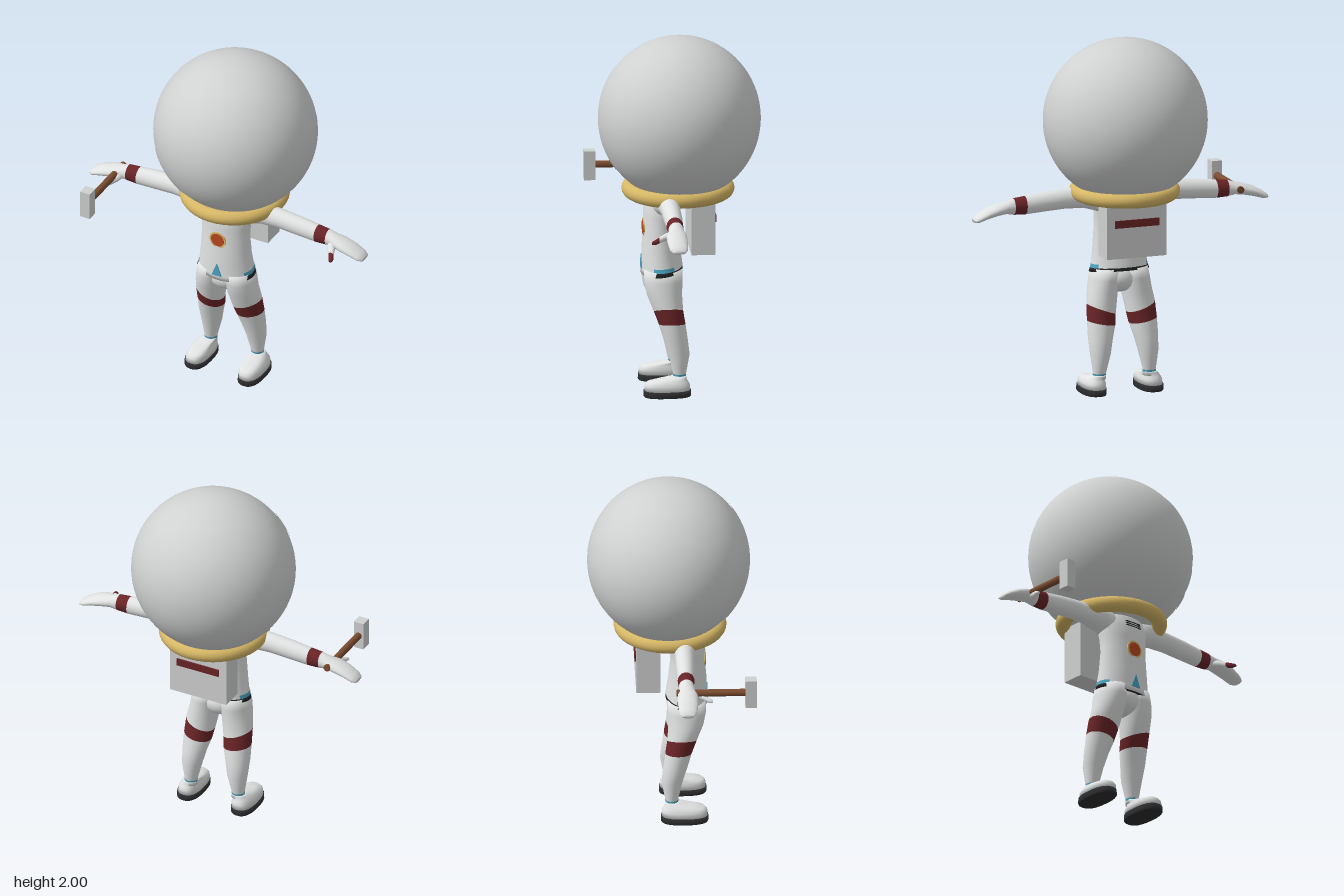
import * as THREE from 'three';

const flat = (name, color) => Object.assign(new THREE.MeshStandardMaterial({ color }), { name });
const suit = flat('suit white', 0xe0e2e1);
const shell = flat('helmet grey', 0xcfd1d0);
const gold = flat('gold', 0xd6b766);
const maroon = flat('maroon', 0x6a2427);
const brown = flat('handle brown', 0x7b4c30);
const dark = flat('dark rubber', 0x2b2b2d);
const blue = flat('light blue', 0x4ba3c4);
const orange = flat('badge orange', 0xbb4820);

// Cross-sections across each axis: centre plus two half-axes (u x v points along the loft)
const ringY = (x, y, z, hx, hz, tiltX = 0, tiltZ = 0) => ({ c: [x, y, z], u: [hx, tiltX, 0], v: [0, tiltZ, -hz] });
const ringX = (x, y, z, hy, hz) => ({ c: [x, y, z], u: [0, hy, 0], v: [0, 0, hz] });
const ringZ = (x, y, z, hx, hy) => ({ c: [x, y, z], u: [hx, 0, 0], v: [0, hy, 0] });

// Closed skin through the rings; side -1 mirrors it in x; pick(interval, angle) gives the material
function loft(name, rings, { side = 1, pick = () => suit, power = 1, n = 32 } = {}) {
  const pos = [], index = [], mats = [], geo = new THREE.BufferGeometry();
  const bend = (t) => Math.sign(t) * Math.abs(t) ** power;
  for (const { c, u, v } of rings) {
    for (let j = 0; j < n; j++) {
      const a = (j / n) * Math.PI * 2 * side;
      const p = c.map((k, i) => k + u[i] * bend(Math.cos(a)) + v[i] * bend(Math.sin(a)));
      pos.push(p[0] * side, p[1], p[2]);
    }
  }
  const last = rings.length - 1;
  for (const r of [rings[0], rings[last]]) pos.push(r.c[0] * side, r.c[1], r.c[2]);
  let run = null;
  const add = (mat, ...ids) => {
    if (!mats.includes(mat)) mats.push(mat);
    const m = mats.indexOf(mat);
    if (!run || run.m !== m) {
      if (run) geo.addGroup(run.start, index.length - run.start, run.m);
      run = { m, start: index.length };
    }
    index.push(...ids);
  };
  const base = rings.length * n;
  for (let j = 0; j < n; j++) add(pick(0, 0), base, ((j + 1) % n), j);
  for (let i = 0; i < last; i++) {
    for (let j = 0; j < n; j++) {
      const k = (j + 1) % n, a = i * n + j, b = i * n + k;
      add(pick(i, ((j + 0.5) / n) * Math.PI * 2), a, b, b + n, a, b + n, a + n);
    }
  }
  for (let j = 0; j < n; j++) add(pick(last - 1, 0), base + 1, last * n + j, last * n + ((j + 1) % n));
  geo.addGroup(run.start, index.length - run.start, run.m);
  geo.setAttribute('position', new THREE.Float32BufferAttribute(pos, 3));
  geo.setIndex(index);
  geo.computeVertexNormals();
  const mesh = new THREE.Mesh(geo, mats);
  mesh.name = name;
  return mesh;
}

function part(name, geo, mat, x = 0, y = 0, z = 0) {
  const mesh = new THREE.Mesh(geo, mat);
  mesh.name = name;
  mesh.position.set(x, y, z);
  return mesh;
}

function helmet() {
  const g = new THREE.Group();
  g.name = 'helmet';
  const R = 0.455;
  g.add(part('dome', new THREE.SphereGeometry(R, 64, 40), shell));
  // Visor shell in five bands of different width, giving stepped sides
  const levels = [1.82, 1.755, 1.62, 1.48, 1.345, 1.28];
  [63, 52, 46, 52, 63].forEach((deg, i) => {
    const az = THREE.MathUtils.degToRad(deg), r = R + 0.004;
    const t0 = Math.acos((levels[i] - 1.545) / r), t1 = Math.acos((levels[i + 1] - 1.545) / r);
    g.add(part('visor', new THREE.SphereGeometry(r, 40, 6, Math.PI / 2 - az, az * 2, t0, t1 - t0), shell));
  });
  g.position.set(0, 1.545, -0.01);
  g.scale.z = 0.98;
  return g;
}

function torso() {
  const rings = [
    ringY(0, 0.678, 0.09, 0.172, 0.115, 0, 0.014), ringY(0, 0.7, 0.09, 0.165, 0.114, 0, 0.01),
    ringY(0, 0.722, 0.09, 0.16, 0.112, 0, 0.008), ringY(0, 0.8, 0.095, 0.15, 0.106),
    ringY(0, 0.92, 0.097, 0.142, 0.095), ringY(0, 1.0, 0.092, 0.144, 0.1),
    ringY(0, 1.06, 0.085, 0.152, 0.104), ringY(0, 1.12, 0.08, 0.145, 0.092), ringY(0, 1.16, 0.08, 0.09, 0.07),
  ];
  // Dark hem open at the front, blue patch on each hip
  const pick = (i, a) => {
    if (i === 0) return Math.sin(a) < 0 && Math.abs(Math.cos(a)) < 0.45 ? suit : dark;
    if (i === 1 && Math.abs(Math.sin(a)) < 0.5) return blue;
    return suit;
  };
  return loft('torso', rings, { pick, n: 48 });
}

function limbs(side) {
  const g = new THREE.Group();
  g.name = side > 0 ? 'leftLimbs' : 'rightLimbs';
  // Arm and hand with a wrist band
  g.add(loft('arm', [
    ringX(0.08, 1.08, 0.075, 0.08, 0.08), ringX(0.16, 1.1, 0.075, 0.07, 0.074), ringX(0.22, 1.108, 0.072, 0.06, 0.06),
    ringX(0.33, 1.108, 0.07, 0.056, 0.052), ringX(0.45, 1.1, 0.07, 0.054, 0.051), ringX(0.56, 1.09, 0.07, 0.051, 0.046),
    ringX(0.628, 1.088, 0.07, 0.046, 0.042), ringX(0.67, 1.085, 0.072, 0.035, 0.045), ringX(0.72, 1.077, 0.075, 0.033, 0.057),
    ringX(0.78, 1.06, 0.075, 0.029, 0.056), ringX(0.835, 1.037, 0.073, 0.022, 0.05), ringX(0.858, 1.028, 0.072, 0.012, 0.036),
  ], { side, pick: (i) => (i === 5 ? maroon : suit) }));
  // Thumb, with a marked tip on the left hand
  g.add(loft('thumb', [
    ringZ(0.668, 1.075, 0.09, 0.03, 0.022), ringZ(0.68, 1.065, 0.135, 0.024, 0.02), ringZ(0.7, 1.053, 0.17, 0.016, 0.016),
    ringZ(0.712, 1.047, 0.19, 0.016, 0.014), ringZ(0.718, 1.043, 0.212, 0.01, 0.008),
  ], { side, n: 16, pick: (i) => (side > 0 && i >= 2 ? maroon : suit) }));
  // Leg with ankle trim and a slanted knee band
  g.add(loft('leg', [
    ringY(0.147, 0.09, 0.005, 0.038, 0.037), ringY(0.147, 0.108, 0.005, 0.037, 0.036), ringY(0.146, 0.122, 0.005, 0.036, 0.036),
    ringY(0.14, 0.23, 0.007, 0.057, 0.058), ringY(0.132, 0.32, 0.026, 0.07, 0.067), ringY(0.122, 0.397, 0.043, 0.079, 0.073, 0.015),
    ringY(0.115, 0.472, 0.063, 0.081, 0.081, 0.03), ringY(0.1, 0.565, 0.084, 0.083, 0.097, 0.01),
    ringY(0.088, 0.64, 0.089, 0.084, 0.107), ringY(0.08, 0.7, 0.089, 0.08, 0.105),
  ], { side, pick: (i) => (i === 1 ? blue : i === 5 ? maroon : suit) }));
  // Shoe upper over a dark sole
  g.add(loft('shoe', [
    ringY(0.166, 0.034, 0.075, 0.064, 0.127), ringY(0.165, 0.065, 0.075, 0.062, 0.125), ringY(0.163, 0.083, 0.072, 0.054, 0.112),
    ringY(0.16, 0.095, 0.045, 0.046, 0.078), ringY(0.152, 0.105, 0.012, 0.041, 0.045), ringY(0.147, 0.112, 0.005, 0.036, 0.036),
  ], { side, power: 0.8 }));
  g.add(loft('sole', [
    ringY(0.167, 0, 0.075, 0.064, 0.127), ringY(0.167, 0.006, 0.075, 0.068, 0.131), ringY(0.167, 0.036, 0.075, 0.067, 0.13),
  ], { side, power: 0.8, pick: () => dark }));
  return g;
}

function hammer() {
  const g = new THREE.Group();
  g.name = 'hammer';
  const handle = new THREE.CylinderGeometry(0.02, 0.02, 0.385, 12).rotateX(Math.PI / 2);
  g.add(part('hammerHandle', handle, brown, -0.69, 1.082, 0.207));
  g.add(part('hammerHead', new THREE.BoxGeometry(0.06, 0.165, 0.063), shell, -0.69, 1.082, 0.423));
  return g;
}

export function createModel() {
  const model = new THREE.Group();
  model.name = 'astronaut';
  model.add(helmet(), torso(), limbs(1), limbs(-1), hammer());

  const collar = part('collar', new THREE.TorusGeometry(0.262, 0.043, 16, 40).rotateX(Math.PI / 2), gold, 0, 1.145, 0);
  collar.scale.z = 1.02;
  model.add(collar);

  const pelvis = part('pelvis', new THREE.SphereGeometry(1, 32, 20), suit, 0, 0.64, 0.088);
  pelvis.scale.set(0.11, 0.085, 0.1);
  model.add(pelvis);

  // Backpack with a stripe on its rear
  model.add(part('backpack', new THREE.BoxGeometry(0.35, 0.325, 0.132), shell, 0, 0.967, -0.125));
  model.add(part('backpackStripe', new THREE.BoxGeometry(0.26, 0.042, 0.009), maroon, 0, 1.0, -0.195));

  // Chest badge, waist triangle and collar vents
  const disc = (r) => new THREE.CylinderGeometry(r, r, 0.009, 32).rotateX(Math.PI / 2);
  model.add(part('badgeRim', disc(0.05), gold, 0, 0.925, 0.19), part('badge', disc(0.04), orange, 0, 0.925, 0.192));
  const tri = new THREE.Shape([new THREE.Vector2(-0.03, 0.692), new THREE.Vector2(0.03, 0.692), new THREE.Vector2(0, 0.77)]);
  model.add(part('waistTriangle', new THREE.ExtrudeGeometry(tri, { depth: 0.009, bevelEnabled: false }), blue, 0, 0, 0.198));
  for (let i = 0; i < 3; i++) model.add(part('vent', new THREE.BoxGeometry(0.1, 0.005, 0.008), dark, 0, 1.065 + i * 0.013, 0.185 - i * 0.003));
  return model;
}
